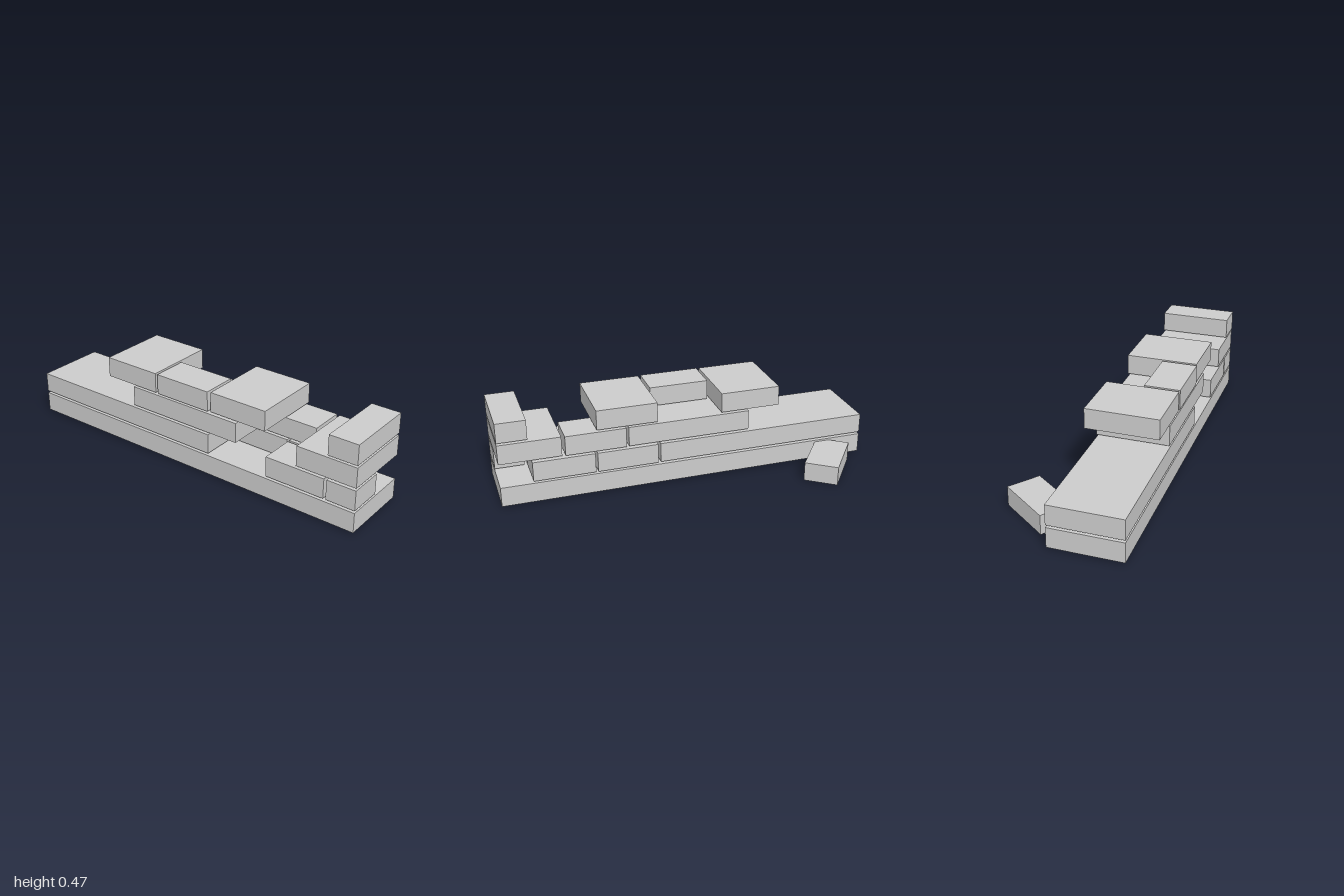
import * as THREE from 'three';

export function createModel() {
  const group = new THREE.Group();
  group.name = 'ruinedBrickWall';
  const stone = new THREE.MeshStandardMaterial({ color: 0xcccccc });
  stone.name = 'pale grey stone';

  const H = 0.106; // course height
  const courseY = [0.008, 0.127, 0.246, 0.364];
  const full = [-0.03, 0.348], back = [-0.034, 0.15], front = [0.163, 0.348];

  // One block spanning x0..x1 and a z range, resting on a course
  function block(name, course, x0, x1, [z0, z1]) {
    const mesh = new THREE.Mesh(new THREE.BoxGeometry(x1 - x0, H, z1 - z0), stone);
    mesh.position.set((x0 + x1) / 2, courseY[course] + H / 2, (z0 + z1) / 2);
    mesh.name = name;
    group.add(mesh);
  }

  // Bottom course: one long slab
  block('baseSlab', 0, -1, 1, full);

  // Second course: long slab, then half-depth bricks with a gap in front
  block('secondCourseSlab', 1, -1, 0.157, full);
  block('secondCourseBackBrick', 1, 0.172, 0.495, back);
  block('secondCourseBackBrick', 1, 0.507, 0.831, back);
  block('secondCourseFrontBrick', 1, 0.507, 0.831, front);
  block('secondCourseEndBrick', 1, 0.845, 1, front);

  // Third course
  block('thirdCourseSlab', 2, -0.331, 0.327, full);
  block('thirdCourseBackBrick', 2, 0.341, 0.66, back);
  block('thirdCourseEndBlock', 2, 0.677, 1, full);

  // Top course: loose remaining blocks
  block('topBlock', 3, -0.5, -0.178, full);
  block('topFrontBrick', 3, -0.163, 0.157, [0.163, 0.35]);
  block('topBlock', 3, 0.173, 0.495, [-0.034, 0.344]);
  block('topEndBrick', 3, 0.845, 1, [-0.03, 0.35]);

  // Brick fallen behind the wall
  const fallen = new THREE.Mesh(new THREE.BoxGeometry(0.311, 0.104, 0.18), stone);
  fallen.position.set(-0.74, 0.052, -0.168);
  fallen.rotation.y = 0.934;
  fallen.name = 'fallenBrick';
  group.add(fallen);

  return group;
}
